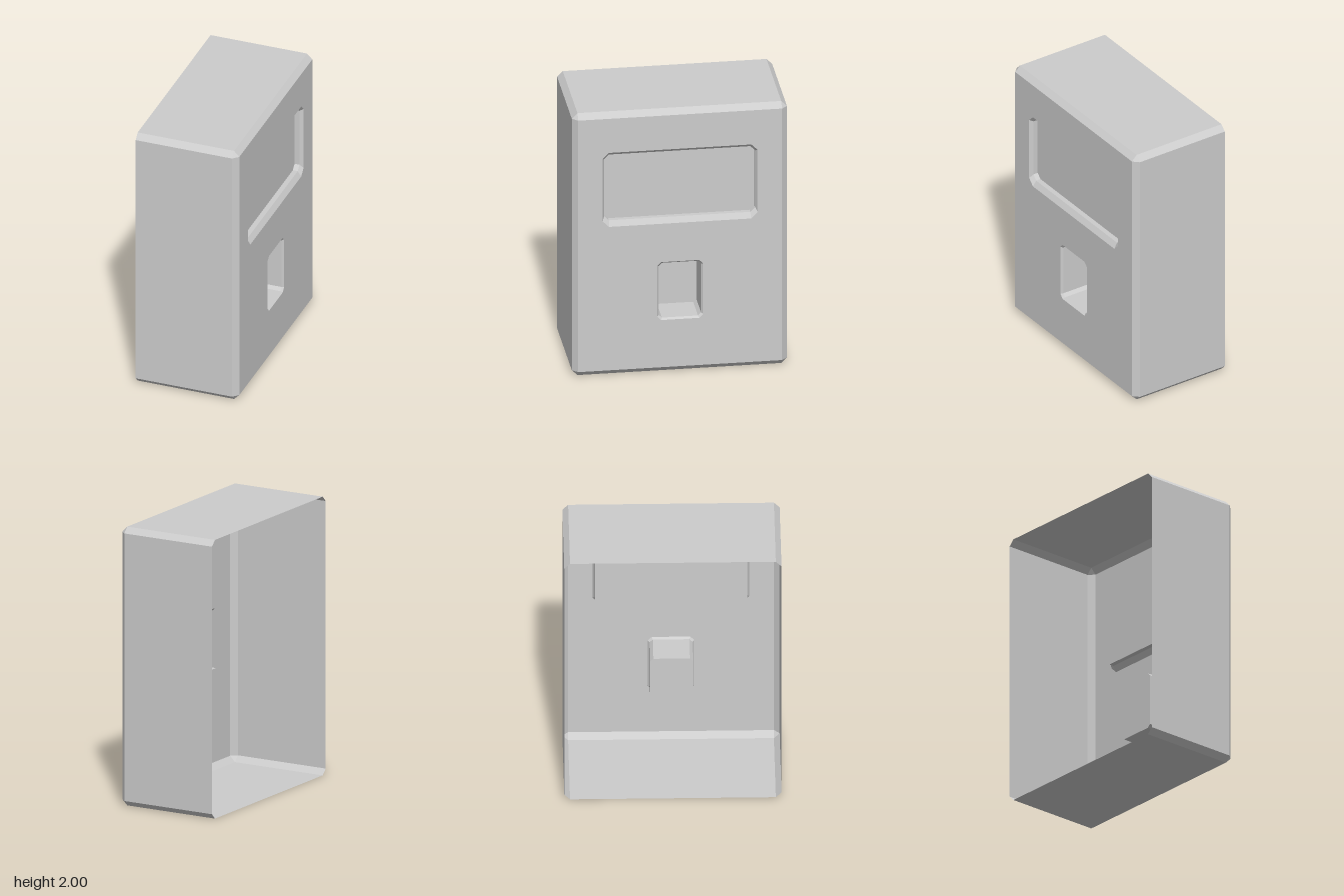
import * as THREE from 'three';

// Eight-point outline seen from +x, counter-clockwise; u runs towards -z.
function outline(x, half, y0, y1, cut) {
  return [
    [-half + cut, y0], [half - cut, y0], [half, y0 + cut], [half, y1 - cut],
    [half - cut, y1], [-half + cut, y1], [-half, y1 - cut], [-half, y0 + cut],
  ].map(([u, y]) => new THREE.Vector3(x, y, -u));
}

// Join outlines into flat-faced walls, optionally closing the last one.
function loft(rings, capped) {
  const points = [];
  const face = (a, b, c) => {
    if (new THREE.Triangle(a, b, c).getArea() > 1e-7) points.push(a, b, c);
  };
  for (let r = 0; r + 1 < rings.length; r++) {
    const a = rings[r], b = rings[r + 1];
    for (let i = 0; i < 8; i++) {
      const j = (i + 1) % 8;
      face(a[i], a[j], b[j]);
      face(a[i], b[j], b[i]);
    }
  }
  if (capped) {
    const last = rings[rings.length - 1];
    for (let i = 1; i < 7; i++) face(last[0], last[i], last[i + 1]);
  }
  const geometry = new THREE.BufferGeometry().setFromPoints(points);
  geometry.computeVertexNormals();
  return geometry;
}

const flat = (ring) => ring.map((p) => new THREE.Vector2(-p.z, p.y));

export function createModel() {
  const group = new THREE.Group();
  const grey = new THREE.MeshStandardMaterial({ color: 0xcccccc, side: THREE.DoubleSide, flatShading: true });
  grey.name = 'plain grey';
  const add = (name, geometry) => {
    const mesh = new THREE.Mesh(geometry, grey);
    mesh.name = name;
    group.add(mesh);
  };

  const front = 0.378;

  // Hollow casing, open at -x, with chamfered edges
  const frontEdge = outline(front, 0.717, 0.04, 1.96, 0);
  add('casing', loft([
    outline(-0.378, 0.756, 0, 2, 0.04),
    outline(0.338, 0.756, 0, 2, 0.04),
    frontEdge,
  ], false));

  // Shallow wide recess with a sloping sill
  const wideRim = outline(front, 0.545, 1.135, 1.7, 0.045);
  add('wideRecess', loft([
    wideRim,
    outline(0.352, 0.531, 1.174, 1.676, 0.034),
    outline(0.316, 0.531, 1.174, 1.676, 0.034),
  ], true));

  // Deep small pocket below it
  const pocketRim = outline(front, 0.162, 0.4, 0.842, 0.028);
  add('smallPocket', loft([
    pocketRim,
    outline(0.363, 0.149, 0.412, 0.83, 0.022),
    outline(0.13, 0.149, 0.412, 0.83, 0.022),
  ], true));

  // Face plate around both openings
  const plate = new THREE.Shape(flat(frontEdge));
  for (const rim of [wideRim, pocketRim]) plate.holes.push(new THREE.Path(flat(rim)));
  add('facePlate', new THREE.ShapeGeometry(plate).rotateY(Math.PI / 2).translate(front, 0, 0));

  return group;
}
